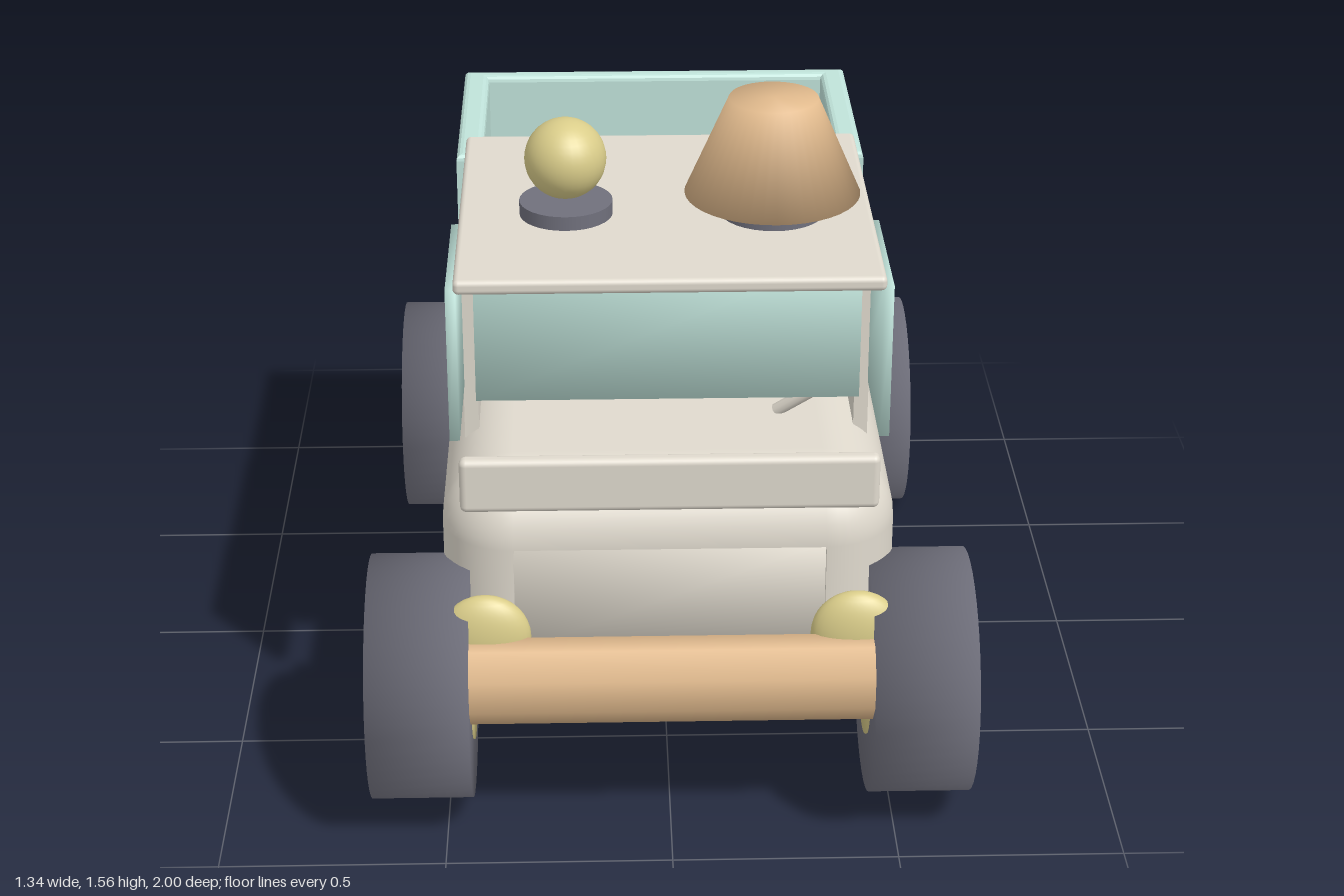
import * as THREE from 'three';
import { RoundedBoxGeometry } from 'three/addons/geometries/RoundedBoxGeometry.js';

const mat = (name, color) => new THREE.MeshStandardMaterial({ name, color });

// Copy of a geometry without the triangles for which drop(a, b, c) is true
function withoutFaces(geometry, drop) {
  const src = geometry.index ? geometry.toNonIndexed() : geometry;
  const pos = src.attributes.position, nor = src.attributes.normal;
  const p = [], n = [];
  for (let i = 0; i < pos.count; i += 3) {
    const tri = [0, 1, 2].map(k => new THREE.Vector3().fromBufferAttribute(pos, i + k));
    if (drop(...tri)) continue;
    tri.forEach((v, k) => {
      p.push(v.x, v.y, v.z);
      n.push(nor.getX(i + k), nor.getY(i + k), nor.getZ(i + k));
    });
  }
  const out = new THREE.BufferGeometry();
  out.setAttribute('position', new THREE.Float32BufferAttribute(p, 3));
  out.setAttribute('normal', new THREE.Float32BufferAttribute(n, 3));
  return out;
}

// Average the normals of all corners that share a position, for soft edges
function soften(geometry) {
  const pos = geometry.attributes.position, nor = geometry.attributes.normal;
  const sums = new Map(), keys = [];
  for (let i = 0; i < pos.count; i++) {
    keys[i] = [pos.getX(i), pos.getY(i), pos.getZ(i)].map(v => Math.round(v * 1e4)).join();
    if (!sums.has(keys[i])) sums.set(keys[i], new THREE.Vector3());
    sums.get(keys[i]).add(new THREE.Vector3().fromBufferAttribute(nor, i));
  }
  keys.forEach((key, i) => {
    const n = sums.get(key).clone().normalize();
    nor.setXYZ(i, n.x, n.y, n.z);
  });
  return geometry;
}

// Four inward-facing walls around an opening at z = 0
function openingWalls(w, h, depth) {
  const g = new THREE.BoxGeometry(w, h, depth).translate(0, 0, -depth / 2);
  const walls = withoutFaces(g, (a, b, c) => a.z === b.z && b.z === c.z);
  walls.scale(-1, 1, 1); // mirroring turns every face inward
  walls.computeVertexNormals();
  return walls;
}

export function createModel() {
  const cream = mat('cream', 0xe0dace);
  const teal = mat('teal', 0xc0e3da);
  const tan = mat('tan', 0xe1ba8d);
  const brass = mat('brass', 0xdacd8a);
  const rubber = mat('rubber', 0x70707c);

  const model = new THREE.Group();
  model.name = 'toyTruck';
  const add = (name, geometry, material, x = 0, y = 0, z = 0, parent = model) => {
    const m = new THREE.Mesh(geometry, material);
    m.name = name;
    m.position.set(x, y, z);
    parent.add(m);
    return m;
  };
  // Rounded box given by its limits
  const block = (name, material, [x0, x1], [y0, y1], [z0, z1], r) =>
    add(name, new RoundedBoxGeometry(x1 - x0, y1 - y0, z1 - z0, 3, r), material,
      (x0 + x1) / 2, (y0 + y1) / 2, (z0 + z1) / 2);

  // Body: rounded shell with slightly sunken panels on its four sides
  const W = 1.005, H = 0.585, L = 1.495, R = 0.16, sink = 0.015;
  const body = new THREE.Group();
  body.name = 'body';
  body.position.set(0, 0.526, 0.022);
  model.add(body);
  const shell = withoutFaces(new RoundedBoxGeometry(W, H, L, 6, R), (a, b, c) =>
    [a, b, c].every(v => Math.abs(Math.abs(v.x) - W / 2) < 1e-4) ||
    [a, b, c].every(v => Math.abs(Math.abs(v.z) - L / 2) < 1e-4));
  add('bodyShell', shell, cream, 0, 0, 0, body);
  for (const [name, width, reach, angle] of [
    ['leftPanel', L, W, Math.PI / 2], ['rightPanel', L, W, -Math.PI / 2],
    ['frontPanel', W, L, 0], ['backPanel', W, L, Math.PI],
  ]) {
    const panel = new THREE.Group();
    panel.name = name;
    panel.rotation.y = angle;
    body.add(panel);
    const w = width - 2 * R, h = H - 2 * R;
    add('panelEdge', openingWalls(w, h, sink), cream, 0, 0, reach / 2, panel);
    add('panelFace', soften(new THREE.BoxGeometry(w, h, 0.04)), cream, 0, 0, reach / 2 - sink - 0.02, panel);
  }

  // Cabin
  block('roof', cream, [-0.457, 0.457], [1.26, 1.293], [-0.095, 0.75], 0.012);
  block('cabinBack', cream, [-0.457, 0.457], [0.775, 1.275], [-0.1, -0.06], 0.012);
  block('frontRail', cream, [-0.457, 0.457], [0.74, 0.868], [0.712, 0.75], 0.015);
  for (const s of [1, -1]) {
    add('cabinWall', new THREE.BoxGeometry(0.032, 0.495, 0.52), cream, s * 0.439, 1.02, 0.19);
    add('sideVisor', soften(new THREE.BoxGeometry(0.022, 0.355, 0.358)), teal, s * 0.464, 1.083, 0.542);
  }

  // Front visor
  add('frontVisor', soften(new THREE.BoxGeometry(0.846, 0.345, 0.022)), teal, 0, 1.094, 0.55);

  // Seat and control lever inside the cabin
  add('seat', new THREE.SphereGeometry(0.2, 32, 16), tan, 0, 0.96, 0.2);
  const lever = new THREE.LineCurve3(new THREE.Vector3(0.25, 0.82, 0.42), new THREE.Vector3(0.37, 0.92, 0.47));
  add('lever', new THREE.TubeGeometry(lever, 1, 0.015, 10), cream);

  // Cargo box: rim with an opening, and a floor
  const rect = (Shape, w, h) => new Shape(
    [[-w, -h], [w, -h], [w, h], [-w, h]].map(([x, y]) => new THREE.Vector2(x, y)));
  const bevel = 0.015;
  const rim = rect(THREE.Shape, 0.468, 0.277);
  rim.holes.push(rect(THREE.Path, 0.435, 0.26));
  const walls = new THREE.ExtrudeGeometry(rim, {
    depth: 0.48 - 2 * bevel, bevelThickness: bevel, bevelSize: bevel, bevelSegments: 3,
  }).rotateX(-Math.PI / 2);
  add('cargoWalls', walls, teal, 0, 0.758 + bevel, -0.397);
  add('cargoFloor', new THREE.BoxGeometry(0.93, 0.068, 0.55), teal, 0, 0.794, -0.397);

  // Roof ornaments
  add('lampBase', new THREE.CylinderGeometry(0.103, 0.103, 0.032, 32), rubber, -0.22, 1.309, 0.38);
  add('lampBall', new THREE.SphereGeometry(0.09, 32, 20), brass, -0.22, 1.423, 0.38);
  add('coneBase', new THREE.CylinderGeometry(0.116, 0.116, 0.05, 32), rubber, 0.235, 1.316, 0.38);
  add('roofCone', soften(new THREE.CylinderGeometry(0.098, 0.194, 0.22, 40)), tan, 0.235, 1.45, 0.38);

  // Bumper: eight-sided bar with flat ends
  const bar = new THREE.CylinderGeometry(0.541, 0.541, 0.89, 8)
    .rotateY(Math.PI / 8).rotateZ(Math.PI / 2).scale(1, 0.182, 0.145);
  add('bumper', bar, tan, 0, 0.404, 0.8925);

  // Headlights
  for (const s of [1, -1]) {
    add('headlight', new THREE.SphereGeometry(0.1, 28, 18), brass, s * 0.405, 0.49, 0.845)
      .scale.z = 0.45;
  }

  // Wheels: softly shaded tyres with hubs showing on both faces
  const tyre = new THREE.LatheGeometry(
    [[0, -0.1125], [0.273, -0.1125], [0.273, 0.1125], [0, 0.1125]].map(([x, y]) => new THREE.Vector2(x, y)), 40)
    .rotateZ(Math.PI / 2);
  const hub = soften(new THREE.CylinderGeometry(0.145, 0.145, 0.233, 32)).rotateZ(Math.PI / 2);
  for (const [place, y, z] of [['front', 0.32, 0.727], ['rear', 0.275, -0.727]]) {
    for (const s of [1, -1]) {
      const wheel = new THREE.Group();
      wheel.name = place + 'Wheel';
      wheel.position.set(s * 0.5525, y, z);
      add('tyre', tyre, rubber, 0, 0, 0, wheel);
      add('hub', hub, brass, 0, 0, 0, wheel);
      model.add(wheel);
    }
  }
  return model;
}
